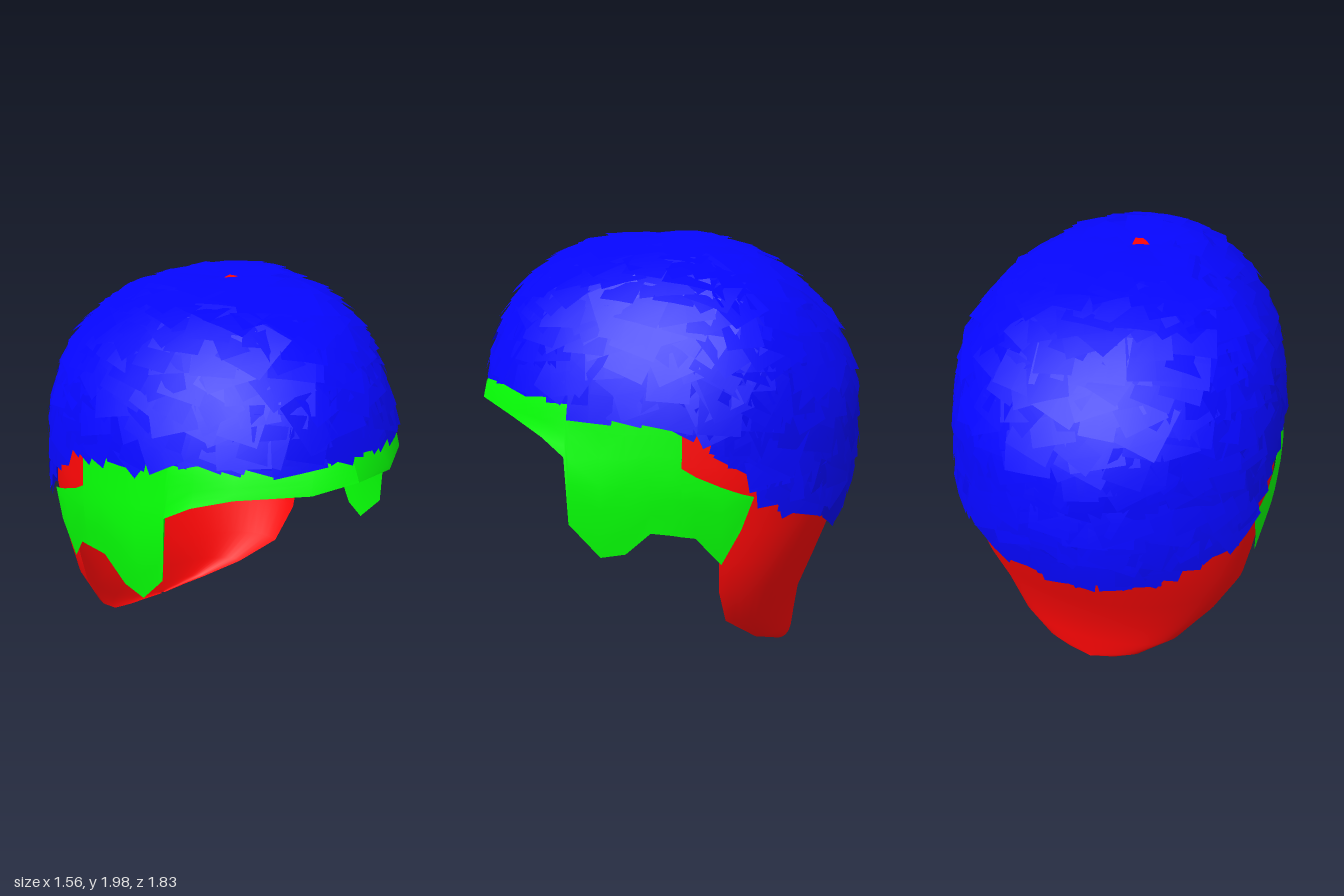
import * as THREE from 'three';
import { mergeGeometries } from 'three/addons/utils/BufferGeometryUtils.js';

const { lerp, clamp, degToRad } = THREE.MathUtils;

// Cross-sections below the dome: y, half width, z of widest point, z of back
const SKIRT = [
  [0, 0.01, -0.6, -0.61], [0.02, 0.14, -0.58, -0.61], [0.05, 0.25, -0.54, -0.615],
  [0.14, 0.42, -0.43, -0.625], [0.29, 0.57, -0.29, -0.645], [0.48, 0.67, -0.26, -0.715],
  [0.63, 0.7, -0.26, -0.77], [0.78, 0.725, -0.25, -0.825], [0.95, 0.74, -0.23, -0.86],
  [1.08, 0.738, -0.21, -0.865], [1.2, 0.73, -0.2, -0.855],
];
const BASE = 1.2, RISE = 0.755, ARC = 0.8, TOP = ARC * Math.PI / 2;

// Interpolates the rows of a table on its first column
function lookup(table, key) {
  let i = 1;
  while (i < table.length - 1 && table[i][0] < key) i++;
  const p = table[i - 1], q = table[i];
  const t = clamp((key - p[0]) / (q[0] - p[0]), 0, 1);
  return p.map((v, k) => lerp(v, q[k], t));
}

// Egg-shaped section at h: below 0 it is the skirt, above 0 the dome
function section(h) {
  if (h <= 0) {
    const [y, w, zc, back] = lookup(SKIRT, BASE + h);
    return { y, w, zc, front: 0.86 - zc, back: zc - back };
  }
  const phi = Math.min(h / ARC, Math.PI / 2), c = Math.max(Math.cos(phi), 0);
  return {
    y: BASE + RISE * Math.sin(phi), w: 0.73 * c ** 0.75, zc: -0.2 * c,
    front: 0.86 * c ** 0.7 + 0.2 * c, back: 0.655 * c,
  };
}

// Point on the head; angle a runs from the front (+z) towards +x
function surface(h, a, out = 0) {
  const s = section(h), c = Math.cos(a), sin = Math.sin(a);
  // the cheeks are flatter than the brow
  const power = c > 0 ? lerp(0.95, 0.7, clamp(-h / 0.2, 0, 1)) : 1;
  return new THREE.Vector3(
    (s.w + out) * Math.sign(sin) * Math.abs(sin) ** power,
    s.y, s.zc + ((c > 0 ? s.front : s.back) + out) * c);
}

const heightToH = (y) => (y <= BASE ? y - BASE : ARC * Math.asin(Math.min((y - BASE) / RISE, 1)));

// Sheet of quads from a function of column and row
function sheet(cols, rows, fn) {
  const pos = [], index = [];
  for (let r = 0; r <= rows; r++)
    for (let c = 0; c <= cols; c++) pos.push(...fn(c, r).toArray());
  for (let r = 0; r < rows; r++)
    for (let c = 0; c < cols; c++) {
      const i = r * (cols + 1) + c, j = i + cols + 1;
      index.push(i, i + 1, j + 1, i, j + 1, j);
    }
  const g = new THREE.BufferGeometry();
  g.setAttribute('position', new THREE.Float32BufferAttribute(pos, 3));
  g.setIndex(index);
  g.computeVertexNormals();
  return g;
}

// Band columns: z, lower edge, upper edge
const BAND = [
  [0.92, 1.26, 1.36], [0.89, 1.255, 1.36], [0.82, 1.24, 1.37], [0.64, 1.22, 1.38],
  [0.5, 1.16, 1.38], [0.4, 1.09, 1.37], [0.385, 0.78, 1.36], [0.25, 0.63, 1.33],
  [0.14, 0.66, 1.32], [0.03, 0.775, 1.31], [-0.06, 0.77, 1.3], [-0.1, 0.765, 1.23],
  [-0.1, 0.765, 1.08], [-0.16, 0.76, 1.045], [-0.27, 0.63, 1.0], [-0.35, 0.8, 0.97],
  [-0.4, 0.95, 0.955],
];

function bandGeometry() {
  const n = BAND.length - 1, rows = 6;
  return sheet(2 * n, rows, (c, r) => {
    const [z, lo, hi] = BAND[Math.abs(c - n)];
    const t = r / rows, h = heightToH(lerp(lo, hi, t)), s = section(h);
    const d = z - s.zc;
    const a = Math.acos(clamp(d / (d > 0 ? s.front : s.back), -1, 1));
    // the band flares outward along its lower edge, most at the brow
    const out = 0.018 + 0.04 * (1 - t) * Math.max(0, Math.cos(a));
    return surface(h, Math.sign(c - n) * a, out);
  });
}

// Lower limit of the tiles: degrees from the front, y
const HEM = [[0, 1.35], [40, 1.34], [52, 1.33], [62, 1.26], [84, 1.26], [95, 1.2],
  [105, 1.08], [113, 0.95], [118, 0.88], [142, 0.83], [150, 0.73], [180, 0.71]];

function tilesGeometry() {
  let seed = 7;
  const rand = () => (seed = (seed * 16807) % 2147483647) / 2147483647;
  const hemAt = (a) => lookup(HEM, Math.abs(((a * 180 / Math.PI + 180) % 360) - 180))[1];

  // one row follows the hem, the others circle the head up to the crown
  const spots = [];
  for (let i = 0; i < 72; i++) {
    const a = ((i + rand() * 0.5) / 72) * Math.PI * 2;
    spots.push([heightToH(hemAt(a) + 0.09 + rand() * 0.03), a]);
  }
  for (let h = -0.38; h < TOP - 0.03; h += 0.085) {
    const s = section(h);
    const n = Math.max(6, Math.ceil(5.4 * Math.max(s.w, s.front * 0.8) / 0.1));
    for (let i = 0; i < n; i++) {
      const a = ((i + rand() * 0.8) / n) * Math.PI * 2;
      const hh = Math.min(h + (rand() - 0.5) * 0.06, TOP - 0.03);
      if (section(hh).y > hemAt(a) + 0.12) spots.push([hh, a]);
    }
  }

  return mergeGeometries(spots.map(([h, a]) => {
    // frame of the surface at this point
    const across = surface(h, a + 0.01).sub(surface(h, a - 0.01)).normalize();
    const up = surface(h + 0.01, a).sub(surface(h - 0.01, a));
    const normal = across.clone().cross(up).normalize();
    up.crossVectors(normal, across);

    // slightly domed tile, its lower end lifted like a shingle
    const tile = new THREE.PlaneGeometry(0.15 + rand() * 0.09, 0.18 + rand() * 0.07, 2, 2);
    const v = tile.attributes.position;
    for (let k = 0; k < v.count; k++)
      v.setZ(k, -0.45 * (v.getX(k) ** 2 + v.getY(k) ** 2));
    tile.computeVertexNormals();
    tile.rotateZ((rand() - 0.5) * 1.2);
    tile.rotateX(-0.03 - rand() * 0.12);
    tile.rotateY((rand() - 0.5) * 0.1);
    return tile.applyMatrix4(new THREE.Matrix4().makeBasis(across, up, normal)
      .setPosition(surface(h, a).addScaledVector(normal, 0.022 + rand() * 0.012)));
  }));
}

export function createModel() {
  const group = new THREE.Group();
  const add = (name, geometry, color) => {
    const mesh = new THREE.Mesh(geometry,
      new THREE.MeshStandardMaterial({ color, side: THREE.DoubleSide }));
    mesh.name = name;
    group.add(mesh);
  };
  const red = 0xff0606;

  // Inner cap over the whole crown
  add('innerCap', sheet(48, 16, (c, r) =>
    surface(lerp(0.07, TOP, r / 16), (c / 48) * Math.PI * 2)), red);

  // Neck guard hanging down behind
  const levels = [...SKIRT.map((s) => s[0] - BASE), 0.08];
  add('neckGuard', sheet(32, levels.length - 1, (c, r) => {
    const start = degToRad(levels[r] >= -0.26 ? 80 : 90);
    return surface(levels[r], lerp(start, Math.PI * 2 - start, c / 32));
  }), red);

  // Brow band with the side flaps
  add('browBand', bandGeometry(), 0x06ff06);

  // Overlapping tiles covering the crown
  add('crownTiles', tilesGeometry(), 0x0606ff);

  return group;
}
